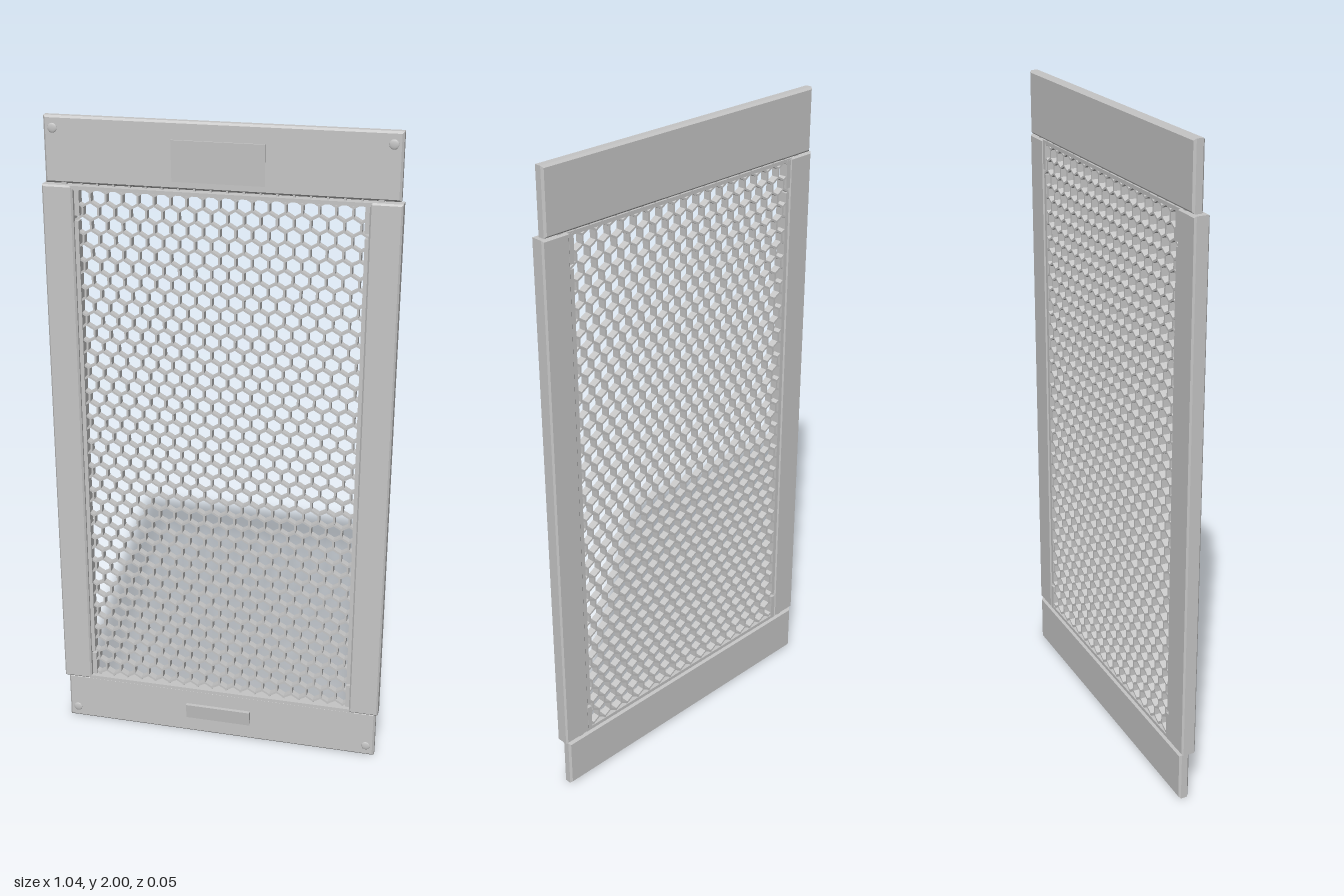
import * as THREE from 'three';

export function createModel() {
  const model = new THREE.Group();
  const grey = new THREE.MeshStandardMaterial({ color: 0xc6c6c6 });
  grey.name = 'light grey plastic';

  function add(name, geometry, x = 0, y = 0, z = 0) {
    const mesh = new THREE.Mesh(geometry, grey);
    mesh.name = name;
    mesh.position.set(x, y, z);
    model.add(mesh);
    return mesh;
  }

  function box(name, x0, x1, y0, y1, z0, z1) {
    return add(name, new THREE.BoxGeometry(x1 - x0, y1 - y0, z1 - z0),
      (x0 + x1) / 2, (y0 + y1) / 2, (z0 + z1) / 2);
  }

  function rectangle(x0, x1, y0, y1) {
    return new THREE.Shape([[x0, y0], [x1, y0], [x1, y1], [x0, y1]]
      .map(([x, y]) => new THREE.Vector2(x, y)));
  }

  // Bar with chamfered edges; the limits include the chamfer
  function bar(name, x0, x1, y0, y1, z0, z1, c) {
    const geometry = new THREE.ExtrudeGeometry(rectangle(x0 + c, x1 - c, y0 + c, y1 - c), {
      depth: z1 - z0 - 2 * c, bevelEnabled: true, bevelSegments: 1, bevelSize: c, bevelThickness: c,
    });
    return add(name, geometry, 0, 0, z0 + c);
  }

  // Plate that is thick at its top edge and tapers downwards
  function wedge(name, x0, x1, y0, y1, z, bottom, top) {
    const profile = new THREE.Shape([[0, y0], [bottom, y0], [top, y1], [0, y1]]
      .map(([x, y]) => new THREE.Vector2(x, y)));
    const geometry = new THREE.ExtrudeGeometry(profile, { depth: x1 - x0, bevelEnabled: false });
    geometry.rotateY(-Math.PI / 2); // profile x becomes +z, depth runs towards -x
    return add(name, geometry, x1, 0, z);
  }

  // Frame
  const back = -0.025, face = 0.007, front = 0.022;
  bar('topBar', -0.512, 0.512, 1.808, 2, back, face, 0.006);
  bar('bottomBar', -0.512, 0.512, 0, 0.158, back, face, 0.006);
  for (const side of [-1, 1]) {
    const span = (a, b) => (side > 0 ? [a, b] : [-b, -a]);
    bar('sideBar', ...span(0.428, 0.52), 0.161, 1.805, -0.023, front, 0.005);
    box('sideLip', ...span(0.416, 0.43), 0.26, 1.7, -0.019, 0.01);
    for (const [y0, y1] of [[0.165, 0.25], [1.715, 1.8]]) {
      box('cornerClip', ...span(0.414, 0.43), y0, y1, -0.021, 0.006);
    }
  }

  // Thin rails joining the side bars above and below the grille
  for (const [name, y0, y1] of [['topRail', 1.794, 1.805], ['bottomRail', 0.161, 0.172]]) {
    box(name, -0.435, 0.435, y0, y1, -0.02, front - 0.002);
  }

  // Honeycomb grille, its rim tucked into the frame
  const pitch = 0.0476, rowStep = pitch * Math.sqrt(3) / 2;
  const holeRadius = (pitch - 0.006) / Math.sqrt(3);
  const sheet = rectangle(-0.465, 0.465, 0.13, 1.845);
  const hexPoints = (cx, cy) => Array.from({ length: 6 }, (_, i) => {
    const a = Math.PI / 2 - i * Math.PI / 3;
    return new THREE.Vector2(cx + holeRadius * Math.cos(a), cy + holeRadius * Math.sin(a));
  });
  for (let row = 0; row < 41; row++) {
    const y = 0.163 + row * rowStep;
    const count = row % 2 ? 18 : 19;
    for (let i = 0; i < count; i++) {
      sheet.holes.push(new THREE.Path(hexPoints((i - (count - 1) / 2) * pitch, y)));
    }
  }
  add('honeycombGrille',
    new THREE.ExtrudeGeometry(sheet, { depth: 0.023, bevelEnabled: false }), 0, 0, -0.018);

  // Tapered blank plate on the top bar and raised label on the bottom bar
  wedge('topPlate', -0.137, 0.132, 1.83, 1.948, face - 0.001, 0.001, 0.007);
  wedge('label', -0.108, 0.104, 0.054, 0.105, face - 0.002, 0.007, 0.014);

  // Shallow domed screw heads in the corners
  for (const x of [-0.485, 0.485]) {
    for (const y of [0.035, 1.965]) {
      const dome = new THREE.SphereGeometry(0.014, 16, 6, 0, Math.PI * 2, 0, Math.PI / 2);
      dome.rotateX(Math.PI / 2);
      dome.scale(1, 1, 0.25);
      add('screwHead', dome, x, y, face);
    }
  }
  return model;
}
